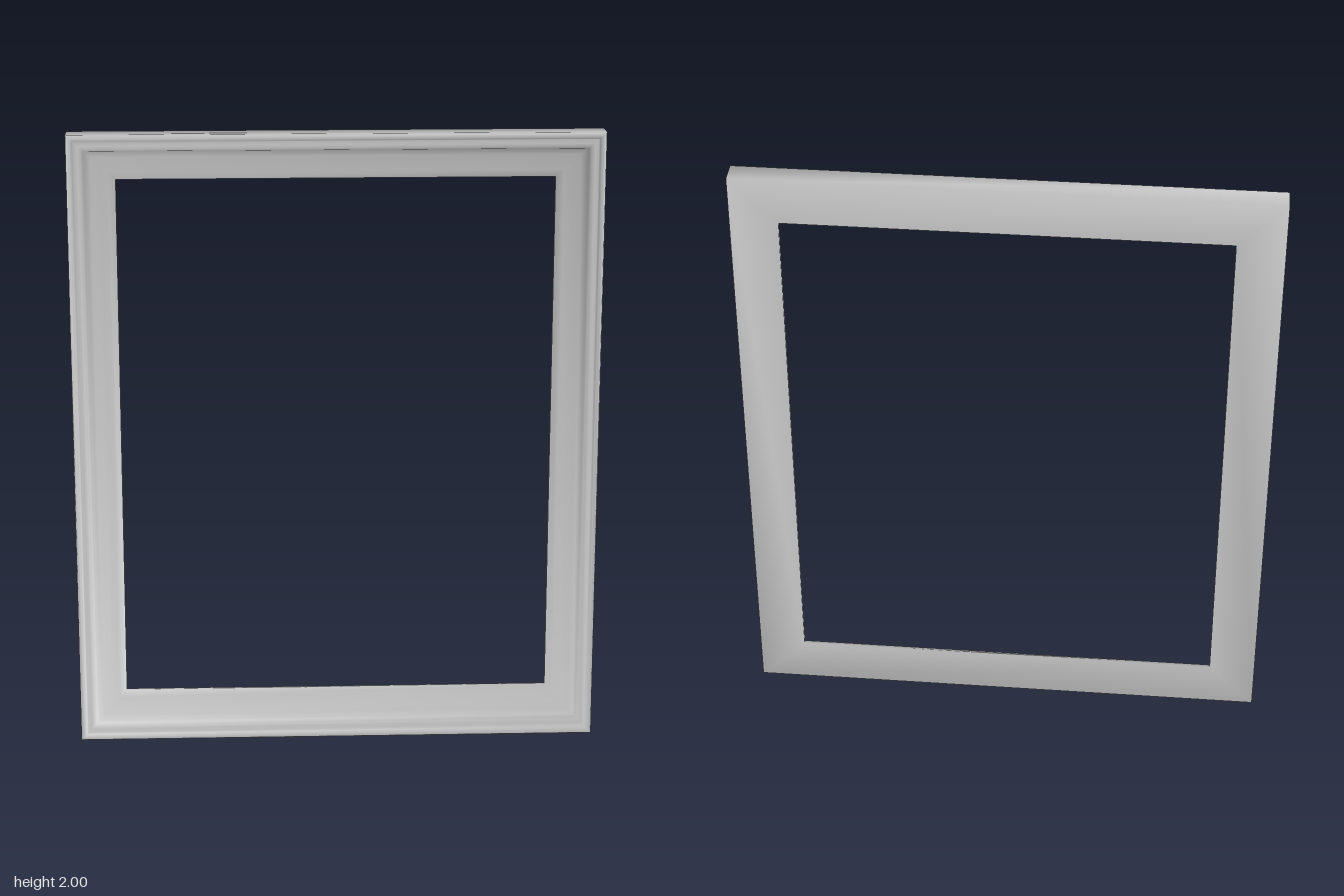
import * as THREE from 'three';

// Moulding cross-section: [inset from the outer edge, z]
const PROFILE = [
  [0, -0.04], [0, 0.034], [0.004, 0.04], [0.014, 0.04], [0.02, 0.035],
  [0.024, 0.03], [0.036, 0.031], [0.046, 0.028], [0.053, 0.022],
  [0.058, 0.008], [0.075, 0], [0.1, -0.011], [0.125, -0.021],
  [0.15, -0.028], [0.15, -0.04],
];

// Sweeps a closed cross-section around a mitred rectangle
function mitredFrame(halfWidth, halfHeight, profile) {
  const corners = [[1, -1], [1, 1], [-1, 1], [-1, -1]];
  const n = profile.length;
  const positions = [];
  const indices = [];
  corners.forEach(([sx, sy], k) => {
    profile.forEach(([inset, z], i) => {
      positions.push(sx * (halfWidth - inset), sy * (halfHeight - inset), z);
      const next = ((k + 1) % 4) * n;
      const j = (i + 1) % n;
      const a = k * n + i, b = next + i, c = next + j, d = k * n + j;
      indices.push(a, b, c, a, c, d);
    });
  });
  const geometry = new THREE.BufferGeometry();
  geometry.setAttribute('position', new THREE.Float32BufferAttribute(positions, 3));
  geometry.setIndex(indices);
  geometry.computeVertexNormals(); // shared corners keep the shading soft
  return geometry;
}

export function createModel() {
  const group = new THREE.Group();
  group.name = 'pictureFrame';
  const material = new THREE.MeshStandardMaterial({ color: 0xcccccc });

  // Moulded frame with an open centre
  const frame = new THREE.Mesh(mitredFrame(0.84, 1, PROFILE), material);
  frame.name = 'frameMoulding';
  frame.position.y = 1;
  group.add(frame);
  return group;
}
